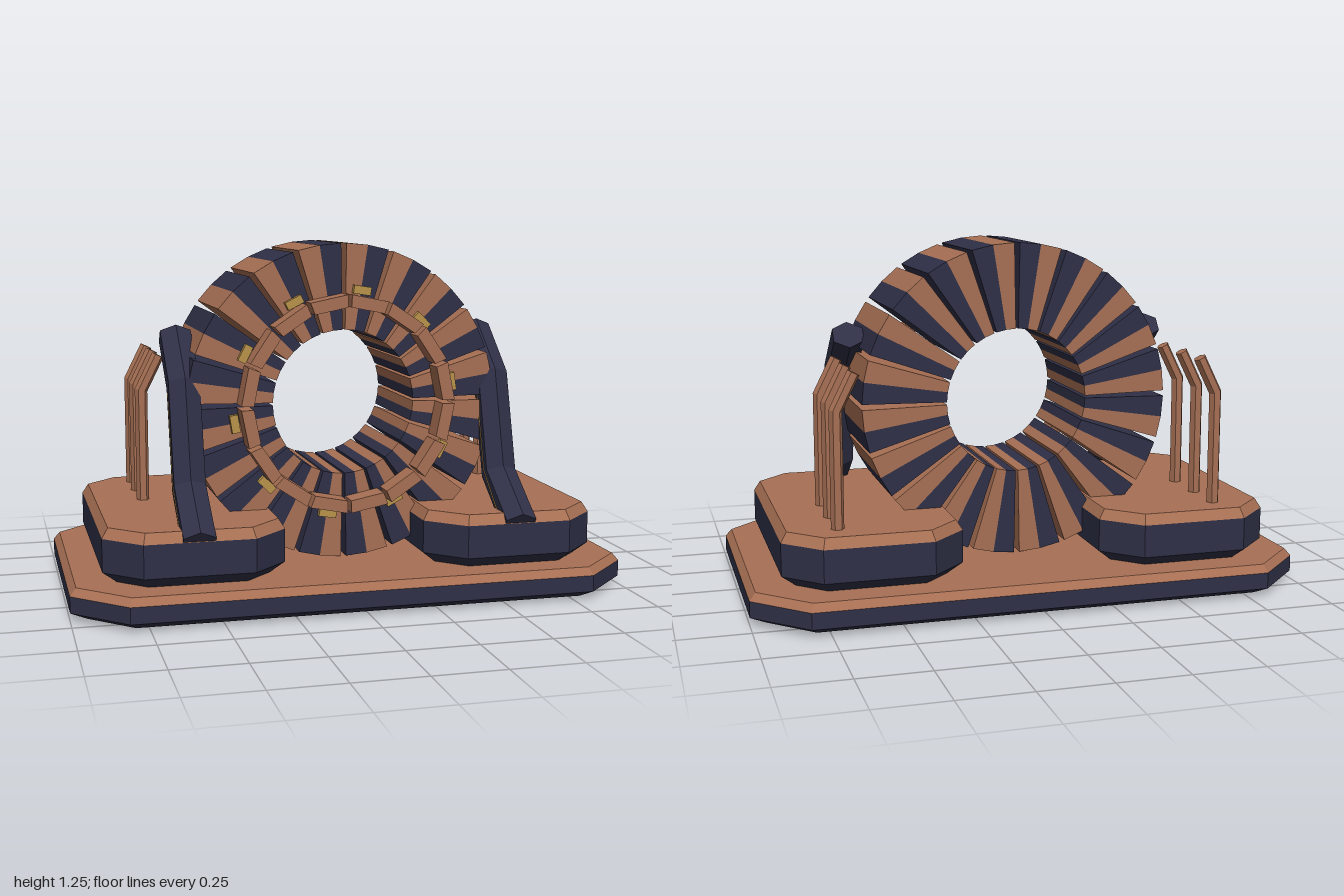
import * as THREE from 'three';

const V = (x, y, z) => new THREE.Vector3(x, y, z);

// Flat-faced skin through a list of equal-length loops, with optional end caps
function loft(sections, capStart = true, capEnd = true) {
  const pos = [];
  const tri = (...pts) => pts.forEach((p) => pos.push(p.x, p.y, p.z));
  const n = sections[0].length;
  for (let i = 0; i < sections.length - 1; i++) {
    const a = sections[i], b = sections[i + 1];
    for (let j = 0; j < n; j++) {
      const k = (j + 1) % n;
      tri(a[j], a[k], b[k]);
      tri(a[j], b[k], b[j]);
    }
  }
  const first = sections[0], last = sections[sections.length - 1];
  for (let j = 1; j < n - 1; j++) {
    if (capStart) tri(first[0], first[j + 1], first[j]);
    if (capEnd) tri(last[0], last[j], last[j + 1]);
  }
  const g = new THREE.BufferGeometry();
  g.setAttribute('position', new THREE.Float32BufferAttribute(pos, 3));
  g.computeVertexNormals();
  return g;
}

// Rectangle with cut corners, shrunk by d
function octagon(cx, y, a, b, c, d) {
  const A = a - d, B = b - d, C = c - d * 0.586;
  return [[A, B - C], [A, C - B], [A - C, -B], [C - A, -B], [-A, C - B], [-A, B - C], [C - A, B], [A - C, B]]
    .map(([x, z]) => V(cx + x, y, z));
}

// Six-sided mitred tube along a planar path; side is the plane's normal
function hexTube(path, side, ru, rv) {
  const sections = path.map((p, i) => {
    const t0 = p.clone().sub(path[Math.max(i - 1, 0)]).normalize();
    const t1 = path[Math.min(i + 1, path.length - 1)].clone().sub(p).normalize();
    const t = t0.clone().add(t1).normalize();
    const miter = 1 / t.dot(t1.lengthSq() ? t1 : t0);
    const v = t.clone().cross(side).multiplyScalar(rv * miter);
    return Array.from({ length: 6 }, (_, k) => {
      const a = Math.PI / 2 + (k * Math.PI) / 3;
      return p.clone().addScaledVector(side, ru * Math.cos(a)).addScaledVector(v, Math.sin(a));
    });
  });
  return loft(sections);
}

// Ring block between two clockwise angles from the top
function wedge(r0, r1, a0, a1, z0, z1) {
  const at = (r, a) => new THREE.Vector2(r * Math.sin(a), r * Math.cos(a));
  const shape = new THREE.Shape([at(r0, a0), at(r1, a0), at(r1, a1), at(r0, a1)]);
  return new THREE.ExtrudeGeometry(shape, { depth: z1 - z0, bevelEnabled: false }).translate(0, 0, z0);
}

export function createModel() {
  const mat = (name, color) => Object.assign(new THREE.MeshStandardMaterial({ color }), { name });
  const copper = mat('copper', 0xa87054);
  const navy = mat('navy', 0x2f3047);
  const gold = mat('gold', 0xb8924a);

  const model = new THREE.Group();
  model.name = 'ringGate';
  const add = (name, geometry, material, parent = model) => {
    const mesh = new THREE.Mesh(geometry, material);
    mesh.name = name;
    parent.add(mesh);
    return mesh;
  };

  // Base slab: dark body, copper top
  const slab = (y, d) => octagon(0, y, 1, 0.612, 0.182, d);
  add('baseBody', loft([slab(0, 0.06), slab(0.03, 0), slab(0.088, 0)], true, false), navy);
  add('baseTop', loft([slab(0.088, 0), slab(0.115, 0.022)], false, true), copper);

  // Main ring: twenty segments, each half copper and half navy
  const ring = new THREE.Group();
  ring.name = 'mainRing';
  ring.position.y = 0.687;
  model.add(ring);
  const step = Math.PI / 10, gap = 0.018;
  for (let i = 0; i < 20; i++) {
    const a = i * step, mid = a + step / 2;
    add('copperRingBlock', wedge(0.26, 0.567, a + gap, mid, -0.21, 0.24), copper, ring);
    add('navyRingBlock', wedge(0.26, 0.567, mid, a + step - gap, -0.21, 0.24), navy, ring);
  }

  // Thin segmented ring in front
  for (let i = 0; i < 16; i++) {
    const a = (i * Math.PI) / 8;
    add('frontRingBlock', wedge(0.345, 0.39, a + 0.018, a + Math.PI / 8 - 0.018, 0.24, 0.328), copper, ring);
  }

  // Gold clips around the front ring
  for (let i = 0; i < 10; i++) {
    const a = ((9 + 36 * i) * Math.PI) / 180;
    const clip = add('goldClip', new THREE.BoxGeometry(0.064, 0.03, 0.026), gold, ring);
    clip.position.set(0.405 * Math.sin(a), 0.405 * Math.cos(a), 0.249);
    clip.rotation.z = -a;
  }

  for (const s of [1, -1]) {
    const sideName = s > 0 ? 'left' : 'right';

    // Pedestal: dark body, copper top
    const block = (y, d) => octagon(s * 0.57, y, 0.317, 0.525, 0.126, d);
    add(sideName + 'PedestalBody', loft([block(0.115, 0.05), block(0.155, 0), block(0.272, 0)], true, false), navy);
    add(sideName + 'PedestalTop', loft([block(0.272, 0), block(0.308, 0.022)], false, true), copper);

    // Bent clamp arm reaching up to the ring
    const x = s * 0.573;
    const arm = [[0.264, 0.517], [0.413, 0.302], [0.762, 0.2], [0.918, 0.008]].map(([y, z]) => V(x, y, z));
    add(sideName + 'Arm', hexTube(arm, V(1, 0, 0), 0.064, 0.055), navy);

    // Gold wire along both flanks of the arm
    for (const f of [1, -1]) {
      const wire = [[0.3, 0.44], [0.425, 0.295], [0.735, 0.203]].map(([y, z]) => V(x + f * 0.055, y, z));
      add(sideName + 'ArmWire', hexTube(wire, V(1, 0, 0), 0.003, 0.003), gold);
    }

    // Three bent rods
    for (const z of [-0.05, -0.23, -0.397]) {
      const rod = [[0.692, 0.29], [0.692, 0.715], [0.628, 0.843]].map(([px, y]) => V(s * px, y, z));
      add(sideName + 'Rod', hexTube(rod, V(0, 0, 1), 0.025, 0.023), copper);
    }
  }
  return model;
}
